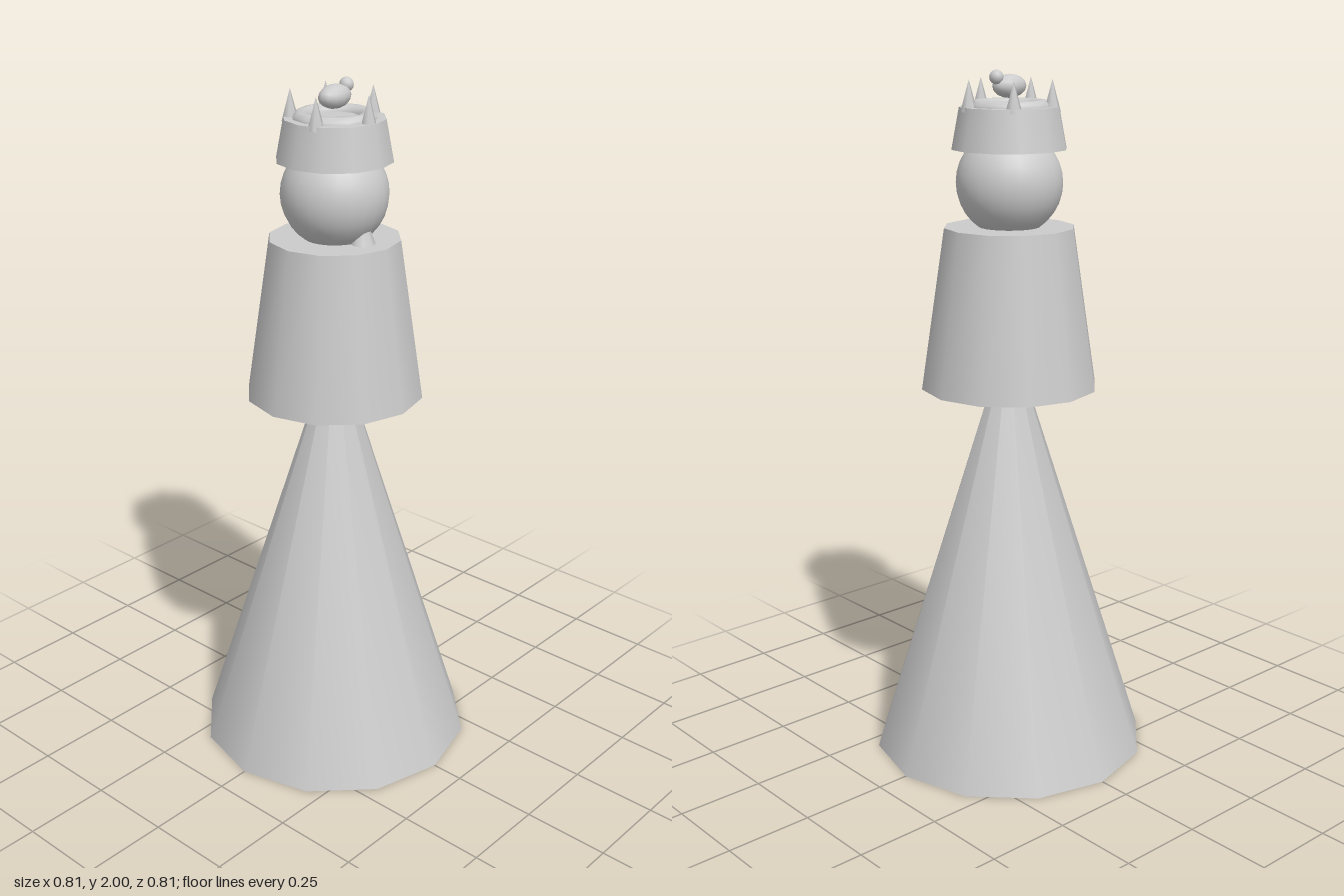
import * as THREE from 'three';

export function createModel() {
  const model = new THREE.Group();
  const material = new THREE.MeshStandardMaterial({ color: 0xcccccc });

  const add = (name, geometry, x, y, z) => {
    const mesh = new THREE.Mesh(geometry, material);
    mesh.name = name;
    mesh.position.set(x, y, z);
    model.add(mesh);
    return mesh;
  };

  // Tapered round part standing between two heights
  const taper = (name, rBottom, rTop, y0, y1, sides = 12, x = 0, z = 0) =>
    add(name, new THREE.CylinderGeometry(rTop, rBottom, y1 - y0, sides), x, (y0 + y1) / 2, z);

  // Gown and cape
  taper('skirt', 0.405, 0, 0, 1.28);
  taper('cape', 0.255, 0.186, 1.11, 1.57);

  // Head with the small cone at the chin
  add('head', new THREE.SphereGeometry(0.15, 24, 16), 0, 1.692, 0);
  taper('chinCone', 0.043, 0, 1.55, 1.66, 8, 0, 0.103);

  // Crown band and padded ring
  taper('crownBand', 0.163, 0.141, 1.785, 1.9);
  const ring = add('crownRing', new THREE.TorusGeometry(0.093, 0.026, 10, 12), 0, 1.893, 0);
  ring.rotation.x = Math.PI / 2;

  // Five spikes around the crown, one at the front
  for (let i = 0; i < 5; i++) {
    const a = (i * Math.PI * 2) / 5;
    taper('crownSpike', 0.024, 0, 1.888, 1.975, 6, Math.sin(a) * 0.12, Math.cos(a) * 0.12);
  }

  // Small ornament on top, with its head towards +x
  const body = add('ornamentBody', new THREE.SphereGeometry(0.036, 12, 8), 0, 1.955, 0);
  body.scale.set(1.5, 0.9, 1);
  add('ornamentHead', new THREE.SphereGeometry(0.02, 12, 8), 0.047, 1.98, 0);

  return model;
}
